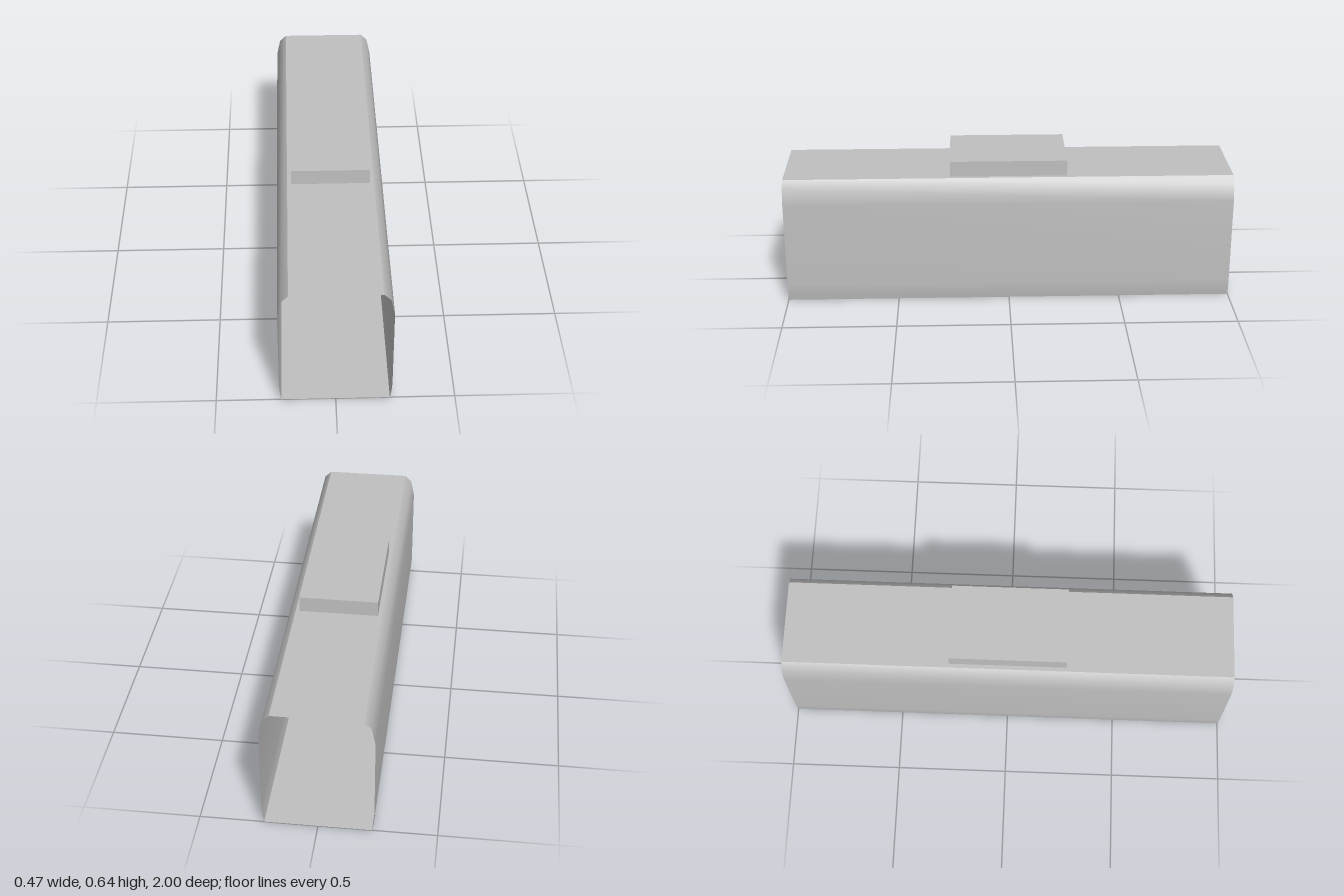
import * as THREE from 'three';

const LENGTH = 2;

// Sheet swept along z from a run of [x, y] points; smooth inside the run, sharp at its ends
function sweptSheet(points) {
  const positions = [], index = [];
  points.forEach(([x, y], i) => {
    positions.push(x, y, LENGTH / 2, x, y, -LENGTH / 2);
    if (i > 0) {
      const a = 2 * (i - 1);
      index.push(a, a + 1, a + 2, a + 2, a + 1, a + 3);
    }
  });
  const geometry = new THREE.BufferGeometry();
  geometry.setAttribute('position', new THREE.Float32BufferAttribute(positions, 3));
  geometry.setIndex(index);
  geometry.computeVertexNormals();
  return geometry;
}

export function createModel() {
  const grey = new THREE.MeshStandardMaterial({ color: 0xc0c0c0, side: THREE.DoubleSide });
  grey.name = 'lightGrey';
  const model = new THREE.Group();
  model.name = 'openTubeWithBlock';

  const add = (name, geometry) => {
    const mesh = new THREE.Mesh(geometry, grey);
    mesh.name = name;
    model.add(mesh);
    return mesh;
  };

  // Side wall from bottom to top, with softly rounded corners
  const wall = [
    [0.227, 0], [0.233, 0.037], [0.236, 0.08],
    [0.236, 0.463], [0.22, 0.541], [0.19, 0.57],
  ];
  const mirrored = wall.map(([x, y]) => [-x, y]).reverse();

  // Open-ended tube shell
  add('leftWall', sweptSheet(wall));
  add('rightWall', sweptSheet(mirrored));
  add('roof', sweptSheet([wall[5], mirrored[0]]));
  add('floor', sweptSheet([mirrored[5], wall[0]]));

  // Flat block resting on the roof
  add('roofBlock', new THREE.BoxGeometry(0.344, 0.07, 0.52)).position.y = 0.605;

  return model;
}
